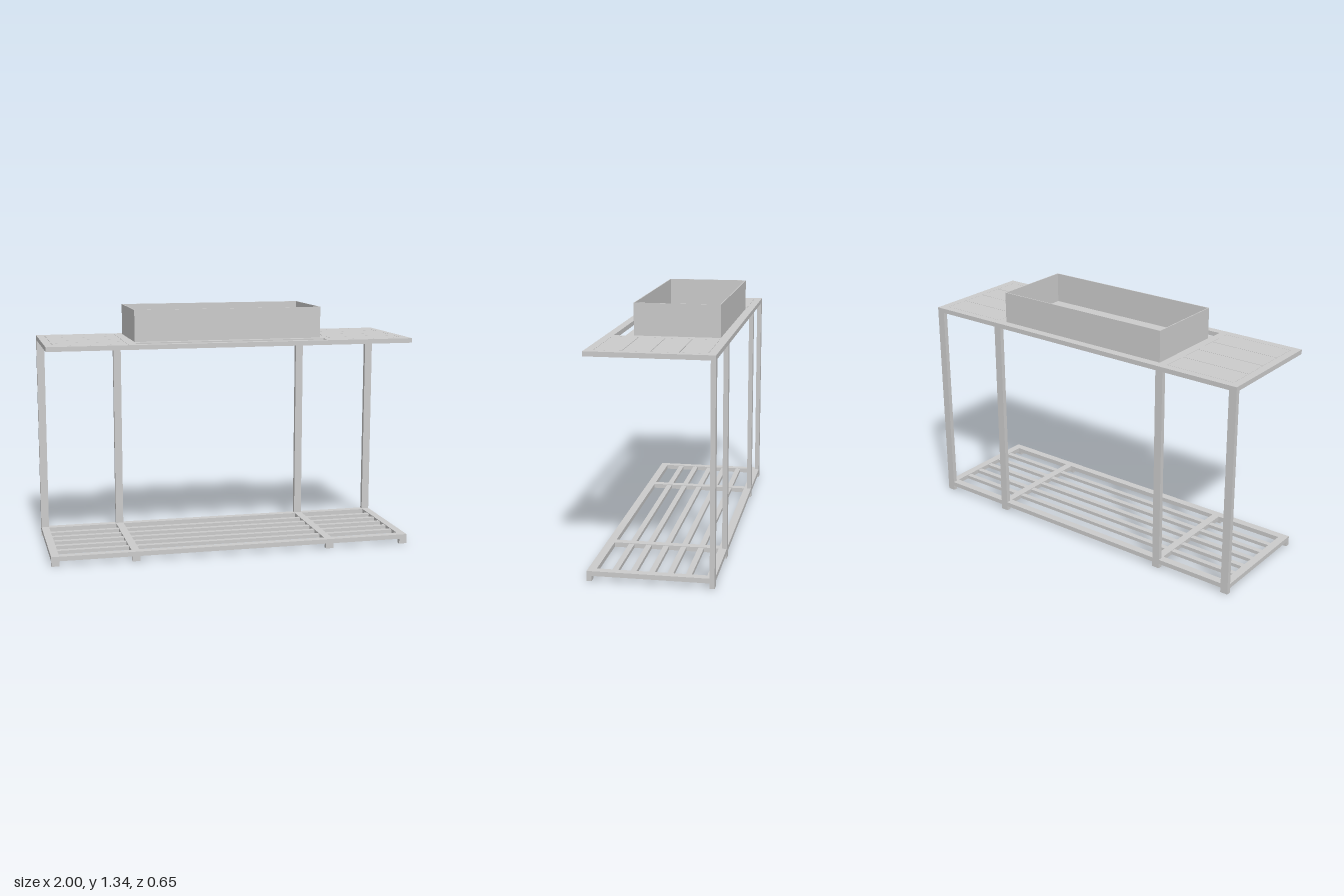
import * as THREE from 'three';

const material = new THREE.MeshStandardMaterial({ color: 0xcccccc });

// Box given by its min/max limits on each axis
function bar(parent, name, [x0, x1], [y0, y1], [z0, z1]) {
  const mesh = new THREE.Mesh(new THREE.BoxGeometry(x1 - x0, y1 - y0, z1 - z0), material);
  mesh.name = name;
  mesh.position.set((x0 + x1) / 2, (y0 + y1) / 2, (z0 + z1) / 2);
  parent.add(mesh);
}

const X = 1, Z = 0.323;         // half length and half depth
const W = 0.043, D = 0.025;     // bar width and thickness
const TOP = 1.165, SHELF = 0.053;
const supports = [-X, -0.566, 0.523, X - W]; // left edge of each support line

// Rectangular frame with two inner cross bars
function frame(name, top) {
  const g = new THREE.Group();
  g.name = name;
  const y = [top - D, top];
  bar(g, 'frontRail', [-X, X], y, [Z - W, Z]);
  bar(g, 'backRail', [-X, X], y, [-Z, -Z + W]);
  for (const x of supports) bar(g, 'crossBar', [x, x + W], y, [-Z + W, Z - W]);
  return g;
}

export function createModel() {
  const model = new THREE.Group();
  model.name = 'washstand';

  // Back posts and short front feet
  for (const x of supports) {
    bar(model, 'backPost', [x, x + W], [0, TOP - D], [-Z, -Z + D]);
    bar(model, 'frontFoot', [x, x + W], [0, SHELF - D], [Z - D, Z]);
  }

  // Lower shelf with five slats in each of the three bays
  const shelf = frame('lowerShelf', SHELF);
  const inner = Z - W, pitch = (2 * inner) / 6;
  for (let bay = 0; bay < 3; bay++) {
    for (let i = 1; i <= 5; i++) {
      const z = -inner + i * pitch;
      bar(shelf, 'shelfSlat', [supports[bay] + W, supports[bay + 1]], [SHELF - 0.022, SHELF - 0.003], [z - 0.015, z + 0.015]);
    }
  }
  model.add(shelf);

  // Countertop: four close boards at each end
  const counter = frame('countertop', TOP);
  const board = (2 * inner) / 4, gap = 0.0015;
  for (const bay of [0, 2]) {
    for (let i = 0; i < 4; i++) {
      const z = -inner + i * board;
      bar(counter, 'counterBoard', [supports[bay] + W + gap, supports[bay + 1] - gap], [TOP - 0.02, TOP], [z + gap, z + board - gap]);
    }
  }
  // Panel under the basin, leaving a towel slot at the front
  bar(counter, 'basinPanel', [supports[1] + W, supports[2]], [TOP - 0.02, TOP], [-inner, 0.217]);
  model.add(counter);

  // Open rectangular basin with thin walls
  const basin = new THREE.Group();
  basin.name = 'basin';
  const bx = 0.517, bz0 = -0.277, bz1 = 0.175, rim = 1.335, t = 0.005;
  bar(basin, 'basinFloor', [-bx + t, bx - t], [TOP, TOP + t], [bz0 + t, bz1 - t]);
  bar(basin, 'basinFront', [-bx, bx], [TOP, rim], [bz1 - t, bz1]);
  bar(basin, 'basinBack', [-bx, bx], [TOP, rim], [bz0, bz0 + t]);
  bar(basin, 'basinSide', [-bx, -bx + t], [TOP, rim], [bz0 + t, bz1 - t]);
  bar(basin, 'basinSide', [bx - t, bx], [TOP, rim], [bz0 + t, bz1 - t]);
  model.add(basin);

  return model;
}
